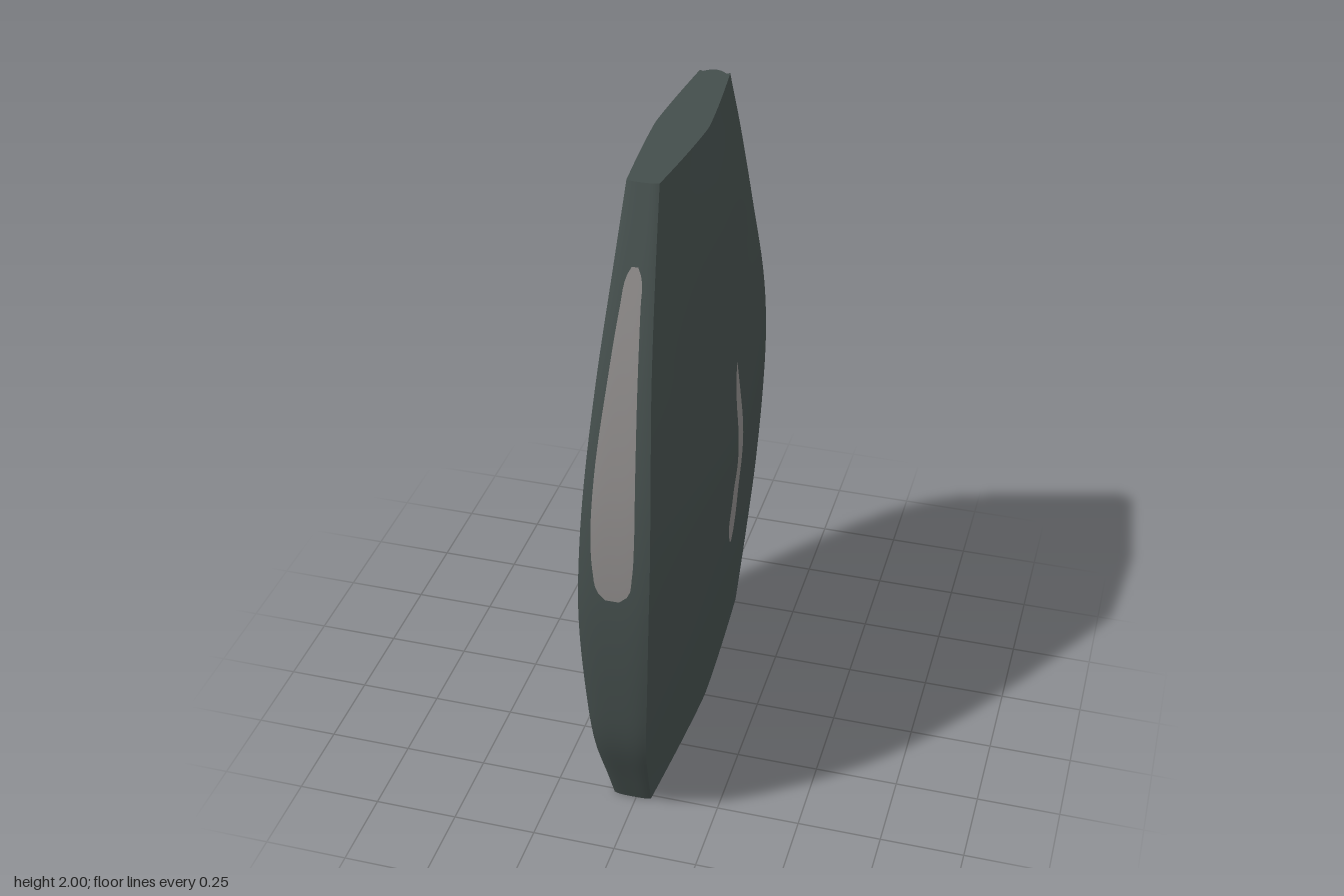
import * as THREE from 'three';

// Smooth lookup through rows of [y, ...values]
function rowsCurve(rows) {
  const size = rows[0].length - 1;
  const curve = new THREE.CubicInterpolant(
    rows.map(r => r[0]), rows.flatMap(r => r.slice(1)), size, new Float32Array(size));
  return y => Array.from(curve.evaluate(y));
}

// y, front z, back z, crest x (-x, +x), edge x (-x, +x)
const section = rowsCurve([
  [0.0, 0.520, -0.530, -0.100, 0.075, -0.070, 0.045],
  [0.1, 0.560, -0.562, -0.110, 0.088, -0.076, 0.051],
  [0.3, 0.637, -0.600, -0.132, 0.115, -0.090, 0.066],
  [0.5, 0.668, -0.632, -0.153, 0.138, -0.101, 0.080],
  [0.8, 0.683, -0.670, -0.176, 0.166, -0.112, 0.092],
  [1.0, 0.670, -0.680, -0.174, 0.177, -0.109, 0.094],
  [1.2, 0.638, -0.658, -0.159, 0.164, -0.101, 0.088],
  [1.5, 0.558, -0.568, -0.128, 0.137, -0.083, 0.070],
  [1.8, 0.449, -0.465, -0.098, 0.106, -0.062, 0.052],
  [2.0, 0.366, -0.382, -0.075, 0.075, -0.050, 0.040]
]);

// Groove and lip across the rear edge strip, by distance from its middle
function rearInset(u) {
  const a = Math.abs(u);
  return a < 0.78 ? 0.02 * (a / 0.78) ** 2 : 0.02 - 0.006 * Math.sin((a - 0.78) / 0.22 * Math.PI * 0.5);
}

// Point in the solid: u runs across (-x to +x), s from back to front
function solid(y, u, s) {
  const [zf, zb, crestR, crestL, edgeR, edgeL] = section(y);
  const h = 1 - Math.abs(s) ** 1.3;
  const right = THREE.MathUtils.lerp(edgeR, crestR, h);
  const left = THREE.MathUtils.lerp(edgeL, crestL, h);
  const z = s > 0 ? s * (zf - 0.006 * u ** 4) : -s * (zb + rearInset(u));
  return new THREE.Vector3(THREE.MathUtils.lerp(right, left, (u + 1) / 2), y, z);
}

// Grid over a, b in 0..1
function sheet(fn, na, nb, flip) {
  const pos = [], index = [];
  for (let j = 0; j <= nb; j++)
    for (let i = 0; i <= na; i++) pos.push(...fn(i / na, j / nb).toArray());
  for (let j = 0; j < nb; j++)
    for (let i = 0; i < na; i++) {
      const a = j * (na + 1) + i, b = a + 1, c = a + na + 1, d = c + 1;
      if (flip) index.push(a, c, b, b, c, d);
      else index.push(a, b, c, b, d, c);
    }
  const g = new THREE.BufferGeometry();
  g.setAttribute('position', new THREE.Float32BufferAttribute(pos, 3));
  g.setIndex(index);
  g.computeVertexNormals();
  return g;
}

export function createModel() {
  const group = new THREE.Group();
  const shell = new THREE.MeshStandardMaterial({ color: 0x444e4c });
  shell.name = 'dark grey green';
  const worn = new THREE.MeshStandardMaterial({ color: 0x8a8786 });
  worn.name = 'worn grey';
  const add = (name, geometry, material) => {
    const mesh = new THREE.Mesh(geometry, material);
    mesh.name = name;
    group.add(mesh);
  };
  const span = t => t * 2 - 1;

  // Broad crested faces, edge strips and flat ends
  add('leftFace', sheet((a, b) => solid(b * 2, 1, span(a)), 40, 48, true), shell);
  add('rightFace', sheet((a, b) => solid(b * 2, -1, span(a)), 40, 48, false), shell);
  add('frontEdge', sheet((a, b) => solid(b * 2, span(a), 1), 18, 48, false), shell);
  add('backEdge', sheet((a, b) => solid(b * 2, span(a), -1), 36, 48, true), shell);
  add('topEnd', sheet((a, b) => solid(2, span(a), span(b)), 36, 40, true), shell);
  add('bottomEnd', sheet((a, b) => solid(0, span(a), span(b)), 36, 40, false), shell);

  // Worn patch on the front edge: y, -x side, +x side
  const frontPatch = rowsCurve([
    [0.868, -0.030, 0.010], [0.89, -0.052, 0.034], [0.95, -0.066, 0.046],
    [1.05, -0.074, 0.050], [1.25, -0.070, 0.045], [1.5, -0.050, 0.034],
    [1.7, -0.032, 0.024], [1.77, -0.023, 0.020], [1.797, -0.010, 0.008]
  ]);
  add('frontWornPatch', sheet((a, b) => {
    const y = 0.868 + b * 0.929;
    const [x0, x1] = frontPatch(y);
    const [, , , , edgeR, edgeL] = section(y);
    const x = THREE.MathUtils.lerp(x0, x1, a);
    const p = solid(y, span((x - edgeR) / (edgeL - edgeR)), 1);
    p.z += 0.004;
    return p;
  }, 10, 48, false), worn);

  // Worn streak along the crest of the left face: y, back z, front z
  const sidePatch = rowsCurve([
    [0.63, 0.000, 0.012], [0.66, -0.014, 0.032], [0.71, -0.020, 0.050],
    [0.8, -0.018, 0.044], [0.86, -0.020, 0.040], [0.92, -0.028, 0.027],
    [1.03, -0.033, 0.024], [1.15, -0.026, 0.022], [1.22, -0.019, 0.008],
    [1.26, -0.014, -0.006]
  ]);
  add('leftWornStreak', sheet((a, b) => {
    const y = 0.63 + b * 0.63;
    const [z0, z1] = sidePatch(y);
    const [zf, zb] = section(y);
    const z = THREE.MathUtils.lerp(z0, z1, a);
    const p = solid(y, 1, z > 0 ? z / zf : -z / zb);
    p.x += 0.004;
    return p;
  }, 10, 40, true), worn);

  return group;
}
